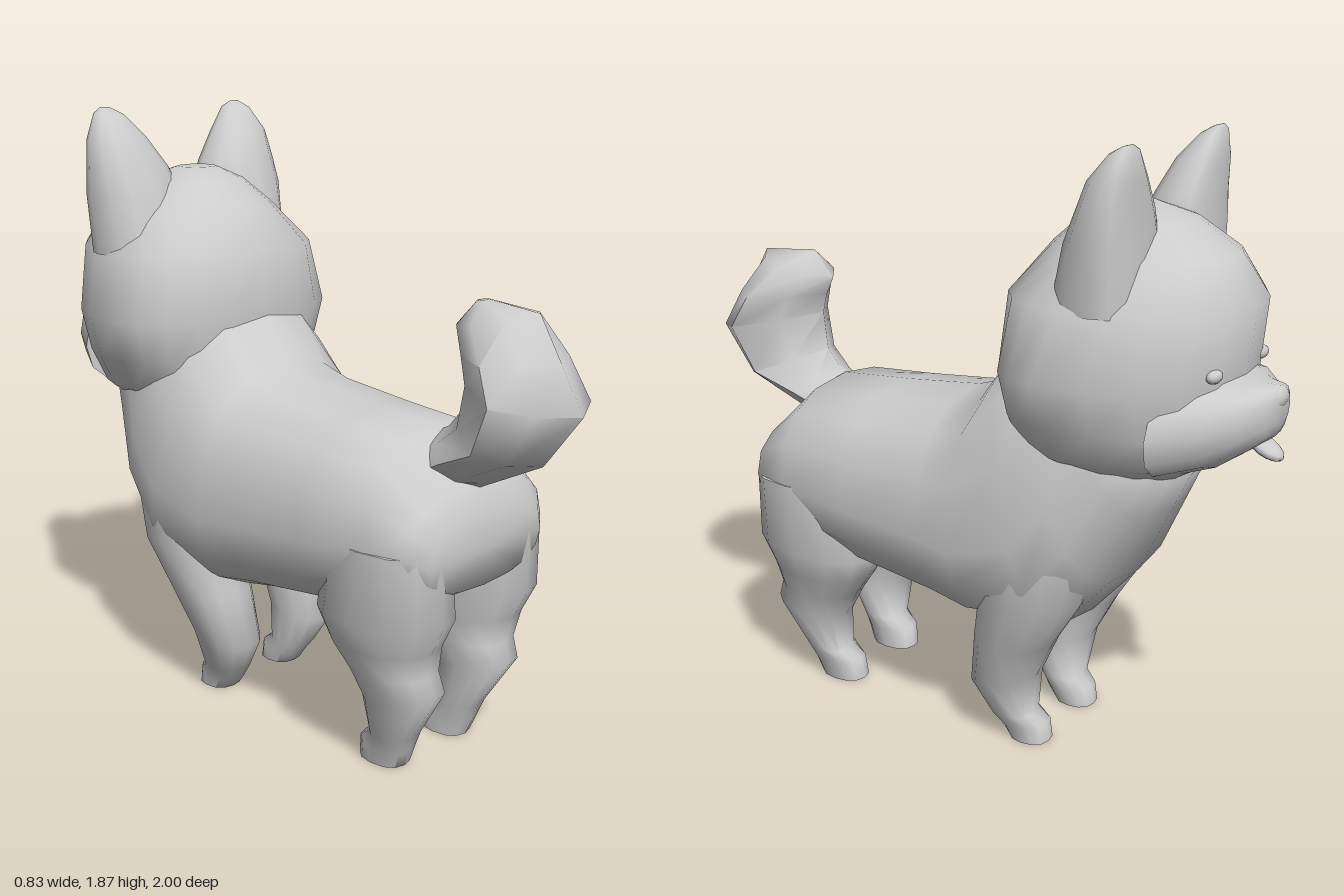
import * as THREE from 'three';
import { toCreasedNormals } from 'three/addons/utils/BufferGeometryUtils.js';

const fur = new THREE.MeshStandardMaterial({ color: 0xcccccc });
fur.name = 'light grey';

// Skin over oval rings. Each ring: [zA, yA, zB, yB, halfWidth, centreX, bias],
// where A and B are its two ends in the side plane and bias places the widest point.
function loft(rings, { sides = 16, square = 1, crease = 1.2 } = {}) {
  const pos = [], index = [];
  const power = (v) => Math.sign(v) * Math.pow(Math.abs(v), square);
  for (const [zA, yA, zB, yB, w, x = 0, bias = 0.5] of rings) {
    const zc = zA + (zB - zA) * bias, yc = yA + (yB - yA) * bias;
    for (let i = 0; i < sides; i++) {
      const a = (i / sides) * Math.PI * 2;
      const c = power(Math.cos(a)), s = power(Math.sin(a));
      const [ze, ye] = c < 0 ? [zA, yA] : [zB, yB];
      pos.push(x + s * w, yc + (ye - yc) * Math.abs(c), zc + (ze - zc) * Math.abs(c));
    }
  }
  const last = (rings.length - 1) * sides;
  for (const r of [rings[0], rings[rings.length - 1]]) {
    pos.push(r[5] ?? 0, (r[1] + r[3]) / 2, (r[0] + r[2]) / 2);
  }
  const capA = last + sides, capB = capA + 1;
  for (let i = 0; i < sides; i++) {
    const j = (i + 1) % sides;
    for (let k = 0; k < last; k += sides) {
      index.push(k + i, k + j, k + sides + i, k + j, k + sides + j, k + sides + i);
    }
    index.push(capA, j, i, capB, last + i, last + j);
  }
  // Turn all faces outward
  const p = (n) => new THREE.Vector3().fromArray(pos, index[n] * 3);
  let volume = 0;
  for (let n = 0; n < index.length; n += 3) volume += p(n).dot(p(n + 1).cross(p(n + 2)));
  if (volume < 0) index.reverse();
  const geo = new THREE.BufferGeometry();
  geo.setAttribute('position', new THREE.Float32BufferAttribute(pos, 3));
  geo.setIndex(index);
  return toCreasedNormals(geo, crease);
}

export function createModel() {
  const model = new THREE.Group();
  model.name = 'puppy';
  const add = (name, geo) => {
    const mesh = new THREE.Mesh(geo, fur);
    mesh.name = name;
    model.add(mesh);
    return mesh;
  };
  const blob = (name, x, y, z, sx, sy, sz) => {
    const mesh = add(name, new THREE.SphereGeometry(1, 12, 8));
    mesh.position.set(x, y, z);
    mesh.scale.set(sx, sy, sz);
    return mesh;
  };

  // Trunk from rump to chest and neck
  add('body', loft([
    [0.695, 0.58, 0.705, 0.80, 0.25],
    [0.66, 0.56, 0.66, 0.88, 0.30],
    [0.53, 0.50, 0.53, 1.01, 0.335, 0, 0.42],
    [0.28, 0.44, 0.28, 1.03, 0.345, 0, 0.42],
    [0.00, 0.405, 0.00, 1.06, 0.355, 0, 0.4],
    [-0.14, 0.38, -0.11, 1.095, 0.365, 0, 0.38],
    [-0.42, 0.41, -0.20, 1.24, 0.365, 0, 0.36],
    [-0.57, 0.58, -0.28, 1.26, 0.345, 0, 0.4],
    [-0.67, 0.79, -0.38, 1.26, 0.30],
    [-0.725, 0.91, -0.48, 1.26, 0.26],
  ], { square: 0.83 }));

  // Head, built upward from the jaw
  add('head', loft([
    [-0.25, 0.95, -0.73, 0.925, 0.24],
    [-0.22, 1.01, -0.82, 0.98, 0.32, 0, 0.42],
    [-0.20, 1.10, -0.87, 1.09, 0.37, 0, 0.38],
    [-0.195, 1.23, -0.875, 1.23, 0.415, 0, 0.36],
    [-0.195, 1.43, -0.90, 1.43, 0.355, 0, 0.4],
    [-0.30, 1.56, -0.82, 1.55, 0.255],
    [-0.38, 1.635, -0.70, 1.635, 0.155],
    [-0.46, 1.675, -0.58, 1.675, 0.06],
  ], { sides: 20, square: 0.92 }));

  // Broad muzzle, nose and tongue
  add('muzzle', loft([
    [-0.72, 0.94, -0.74, 1.25, 0.31],
    [-0.85, 0.985, -0.86, 1.24, 0.24],
    [-0.92, 1.035, -0.92, 1.22, 0.15],
    [-0.97, 1.075, -0.975, 1.22, 0.08],
    [-0.985, 1.11, -0.99, 1.20, 0.045],
  ], { square: 0.8 }));
  blob('nose', 0, 1.185, -0.965, 0.06, 0.035, 0.03);
  const tongue = blob('tongue', 0, 1.04, -0.945, 0.045, 0.022, 0.06);
  tongue.rotation.x = -0.5;

  // Tail curling up from the rump, with a ridge along its front and back
  add('tail', loft([
    [0.66, 0.86, 0.47, 0.98, 0.12],
    [0.72, 0.89, 0.55, 1.02, 0.14],
    [0.88, 0.97, 0.60, 1.08, 0.175, 0, 0.4],
    [1.00, 1.13, 0.615, 1.20, 0.2, 0, 0.42],
    [0.925, 1.26, 0.60, 1.26, 0.175, 0, 0.42],
    [0.85, 1.385, 0.57, 1.32, 0.115],
    [0.68, 1.40, 0.64, 1.395, 0.02],
  ], { sides: 8, square: 1.4 }));

  for (const [side, s] of [['left', 1], ['right', -1]]) {
    const ear = [
      [-0.41, 1.42, -0.67, 1.42, 0.14, 0.215, 0.65],
      [-0.455, 1.60, -0.665, 1.60, 0.155, 0.217, 0.65],
      [-0.49, 1.68, -0.66, 1.68, 0.138, 0.228, 0.65],
      [-0.53, 1.77, -0.66, 1.77, 0.10, 0.253, 0.65],
      [-0.59, 1.84, -0.655, 1.85, 0.05, 0.265, 0.6],
      [-0.625, 1.86, -0.645, 1.865, 0.02, 0.27],
    ];
    const frontLeg = [
      [-0.17, 0.66, -0.52, 0.66, 0.15, 0.20],
      [-0.17, 0.52, -0.49, 0.52, 0.145, 0.20],
      [-0.14, 0.36, -0.39, 0.36, 0.12, 0.19],
      [-0.11, 0.18, -0.325, 0.23, 0.10, 0.17],
      [-0.17, 0.08, -0.305, 0.09, 0.075, 0.15],
      [-0.20, 0.035, -0.345, 0.06, 0.065, 0.14],
      [-0.225, 0, -0.355, 0, 0.06, 0.14],
    ];
    const hindLeg = [
      [0.70, 0.72, 0.32, 0.72, 0.14, 0.20],
      [0.705, 0.50, 0.27, 0.48, 0.15, 0.19],
      [0.66, 0.41, 0.31, 0.40, 0.13, 0.185],
      [0.645, 0.33, 0.37, 0.32, 0.11, 0.175],
      [0.67, 0.27, 0.42, 0.23, 0.10, 0.17],
      [0.57, 0.11, 0.43, 0.10, 0.075, 0.15],
      [0.55, 0.05, 0.38, 0.07, 0.065, 0.145],
      [0.53, 0, 0.37, 0, 0.06, 0.14],
    ];
    const place = (rings) => rings.map(([a, b, c, d, w, x, bias]) => [a, b, c, d, w, x * s, bias]);
    add(side + 'Ear', loft(place(ear), { sides: 12, square: 0.8 }));
    add(side + 'FrontLeg', loft(place(frontLeg), { sides: 12, square: 0.85 }));
    add(side + 'HindLeg', loft(place(hindLeg), { sides: 12, square: 0.85 }));
    blob(side + 'Eye', s * 0.15, 1.26, -0.85, 0.035, 0.02, 0.02);
  }
  return model;
}
